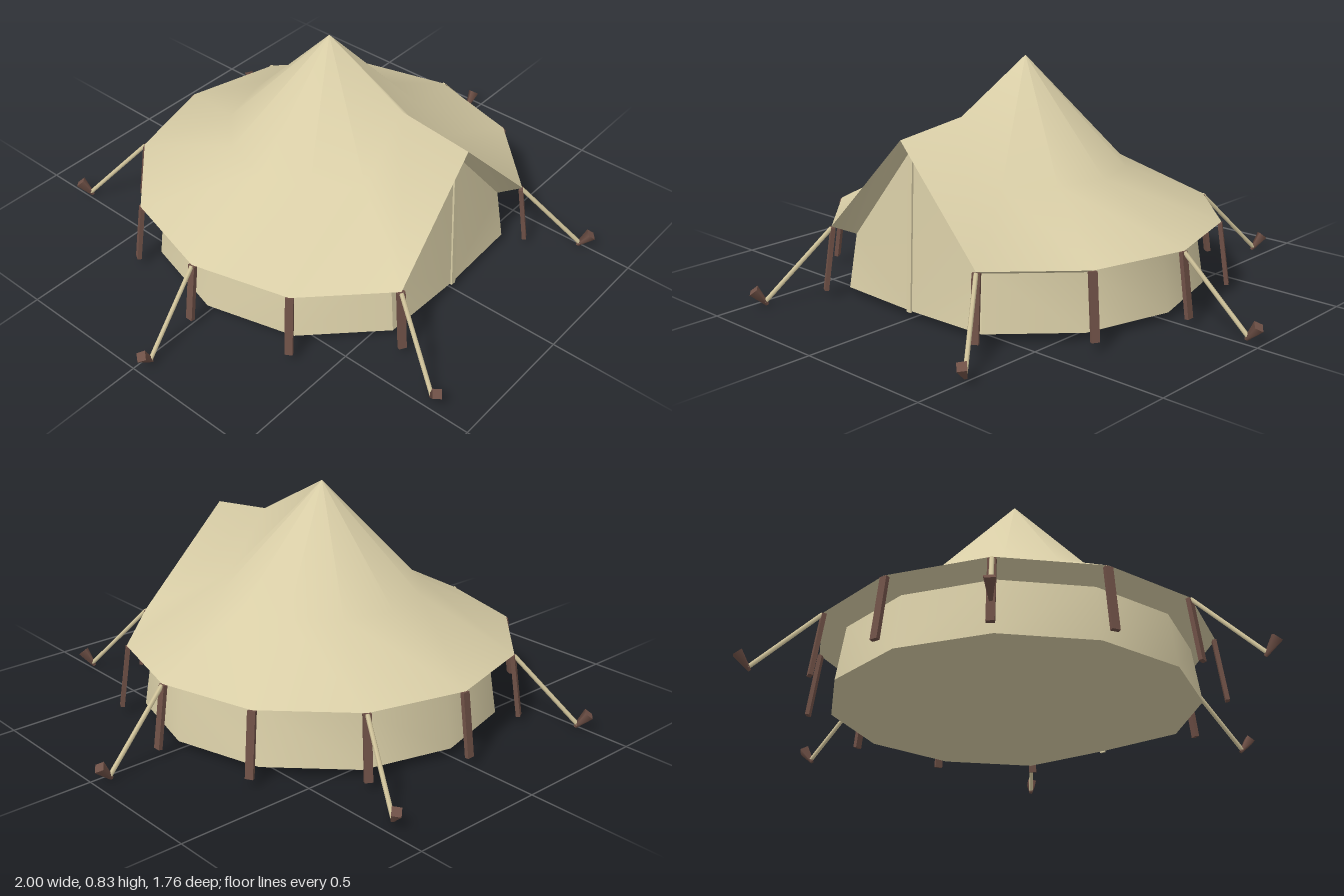
import * as THREE from 'three';

const SIDES = 12;
const V = (x, y, z) => new THREE.Vector3(x, y, z);

// Point on a circle; index 0 is the front, counting toward +x
function polar(i, r, y) {
  const a = (i / SIDES) * Math.PI * 2;
  return V(Math.sin(a) * r, y, Math.cos(a) * r);
}

// Twelve-sided ring, with its front point optionally moved
function ring(r, y, front) {
  const pts = Array.from({ length: SIDES }, (_, i) => polar(i, r, y));
  if (front) pts[0] = front;
  return pts;
}

function geometryFrom(points, index) {
  const g = new THREE.BufferGeometry().setFromPoints(points);
  g.setIndex(index);
  g.computeVertexNormals();
  return g;
}

// Skin over rings ordered from bottom to top, for columns from..to
function loft(rings, from = 0, to = SIDES) {
  const n = SIDES;
  const index = [];
  for (let k = 0; k < rings.length - 1; k++) {
    for (let i = from; i < to; i++) {
      const j = (i + 1) % n;
      const a = k * n + i, b = k * n + j, c = b + n, d = a + n;
      // mirrored diagonals keep both halves symmetric
      if (i < n / 2) index.push(a, b, d, b, c, d);
      else index.push(a, b, c, a, c, d);
    }
  }
  return geometryFrom(rings.flat(), index);
}

// Flat fan around the first point
function fan(points) {
  const index = [];
  for (let i = 1; i < points.length - 1; i++) index.push(0, i, i + 1);
  return geometryFrom(points, index);
}

export function createModel() {
  const tent = new THREE.Group();
  tent.name = 'bellTent';

  const canvas = new THREE.MeshStandardMaterial({ color: 0xd8cda6 });
  canvas.name = 'canvas';
  const wood = new THREE.MeshStandardMaterial({ color: 0x6e5046 });
  wood.name = 'wood';
  const cord = new THREE.MeshStandardMaterial({ color: 0xd2c59c });
  cord.name = 'cord';

  const add = (name, geometry, material) => {
    const mesh = new THREE.Mesh(geometry, material);
    mesh.name = name;
    tent.add(mesh);
    return mesh;
  };

  // Straight piece whose local y axis runs from a to b
  const between = (name, geometry, material, a, b) => {
    const mesh = add(name, geometry, material);
    mesh.position.copy(a).add(b).multiplyScalar(0.5);
    mesh.quaternion.setFromUnitVectors(V(0, 1, 0), b.clone().sub(a).normalize());
    return mesh;
  };

  // Rings of the canvas; the front points form the raised porch ridge
  const floorRing = ring(0.65, 0.03, V(0, 0.03, 0.575));
  const wallTop = ring(0.62, 0.225, V(0, 0.585, 0.55));
  const eave = ring(0.707, 0.26, V(0, 0.622, 0.598));
  const middle = ring(0.365, 0.44, V(0, 0.655, 0.32));
  const peak = ring(0, 0.828);

  add('roof', loft([eave, middle, peak]), canvas);
  add('eaveUnderside', loft([wallTop, eave]), canvas);
  add('wall', loft([floorRing, wallTop], 1, SIDES - 1), canvas);
  add('floor', fan([...floorRing].reverse()), canvas);

  // Door panel with a peaked top and a seam down its middle
  add('door', fan([
    floorRing[0], floorRing[1], wallTop[1], wallTop[0], wallTop[11], floorRing[11],
  ]), canvas);
  between('doorSeam', new THREE.BoxGeometry(0.02, 0.545, 0.008), canvas,
    V(0, 0.025, 0.577), V(0, 0.57, 0.553));

  // Poles lean outward under every eave corner except the door
  for (let i = 1; i < SIDES; i++) {
    const pole = new THREE.Group();
    pole.name = 'pole';
    pole.rotation.y = (i / SIDES) * Math.PI * 2;
    const shaft = new THREE.Mesh(new THREE.BoxGeometry(0.028, 0.228, 0.015), wood);
    shaft.name = 'poleShaft';
    shaft.position.set(0, 0.143, 0.718);
    shaft.rotation.x = -0.14;
    pole.add(shaft);
    tent.add(pole);
  }

  // Guy ropes: eave corner and the ground position of its peg
  const guys = [
    [1, 0.49, 0.80], [3, 0.945, -0.03], [5, 0.45, -0.83],
    [7, -0.49, -0.80], [9, -0.945, 0.025], [11, -0.46, 0.83],
  ];
  for (const [corner, x, z] of guys) {
    const top = polar(corner, 0.707, 0.255);
    const foot = V(x, 0.015, z);
    const length = top.distanceTo(foot);
    between('guyRope', new THREE.CylinderGeometry(0.008, 0.008, length, 6), cord, foot, top);

    // Tapered peg driven in at a slant
    const out = V(x, 0, z).normalize();
    const tip = V(x, 0.005, z).addScaledVector(out, -0.008);
    const head = tip.clone().addScaledVector(out, 0.045).add(V(0, 0.055, 0));
    between('peg', new THREE.CylinderGeometry(0.023, 0.007, tip.distanceTo(head), 4), wood, tip, head);
  }

  return tent;
}
